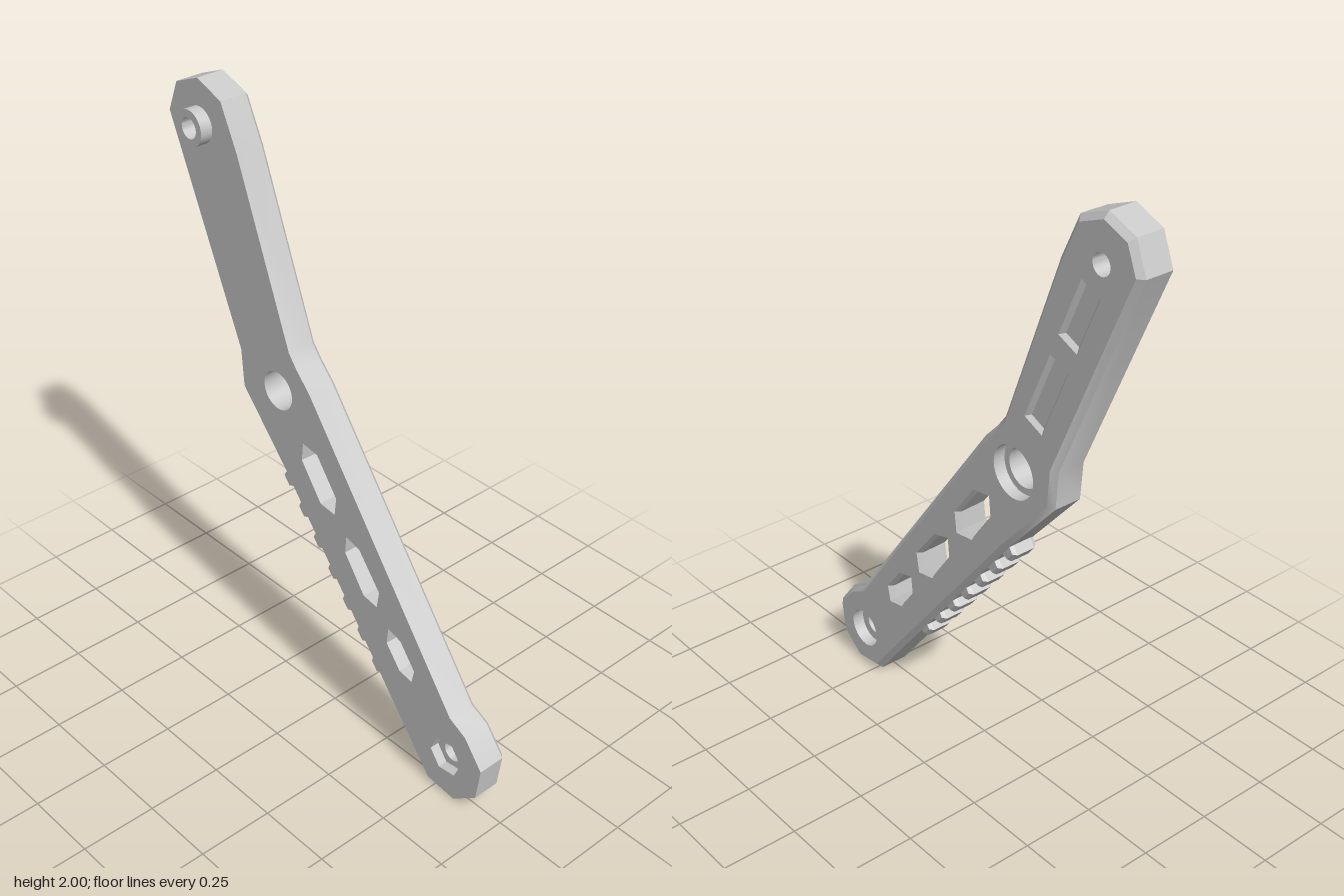
import * as THREE from 'three';
import { toCreasedNormals } from 'three/addons/utils/BufferGeometryUtils.js';

const FRONT = 0.035, EDGE = -0.058, BACK = -0.0755, TIP = 0.0755;
const V = (x, y) => new THREE.Vector2(x, y);
const ccw = (pts) => (THREE.ShapeUtils.isClockWise(pts) ? pts.slice().reverse() : pts);
const loop = (list) => ccw(list.map(([x, y]) => V(x, y)));

function ring(c, r, n = 32, start = 0) {
  return Array.from({ length: n }, (_, i) => {
    const a = start + (i / n) * Math.PI * 2;
    return V(c.x + r * Math.cos(a), c.y + r * Math.sin(a));
  });
}

// Mitred inset of a counter-clockwise loop (negative distance grows it)
function inset(pts, d) {
  const n = pts.length;
  return pts.map((p, i) => {
    const a = p.clone().sub(pts[(i + n - 1) % n]).normalize();
    const b = pts[(i + 1) % n].clone().sub(p).normalize();
    const na = V(-a.y, a.x), nb = V(-b.y, b.x);
    const m = na.clone().add(nb);
    return p.clone().addScaledVector(m, d / (1 + na.dot(nb)));
  });
}

export function createModel() {
  const model = new THREE.Group();
  model.name = 'leverArm';
  const grey = new THREE.MeshStandardMaterial({ color: 0xc8c8c8 });
  grey.name = 'lightGrey';

  function part(name) {
    const g = new THREE.Group();
    g.name = name;
    model.add(g);
    return g;
  }
  function addMesh(group, name, geo) {
    const m = new THREE.Mesh(geo, grey);
    m.name = name;
    group.add(m);
  }
  // Side wall between a front loop and a back loop; hole walls face inward
  function wall(group, name, a, za, b, zb, hole = false) {
    const n = a.length, pos = [], idx = [];
    a.forEach((p) => pos.push(p.x, p.y, za));
    b.forEach((p) => pos.push(p.x, p.y, zb));
    for (let i = 0; i < n; i++) {
      const j = (i + 1) % n;
      if (hole) idx.push(n + i, j, n + j, n + i, i, j);
      else idx.push(n + i, n + j, j, n + i, j, i);
    }
    const geo = new THREE.BufferGeometry();
    geo.setAttribute('position', new THREE.Float32BufferAttribute(pos, 3));
    geo.setIndex(idx);
    addMesh(group, name, toCreasedNormals(geo, 0.5));
  }
  // Flat face with holes, facing the front or the back
  function cap(group, name, outer, holes, z, facesFront) {
    const shape = new THREE.Shape(outer);
    shape.holes = holes.map((h) => new THREE.Path(h));
    const geo = new THREE.ShapeGeometry(shape);
    geo.translate(0, 0, z);
    if (!facesFront) {
      geo.setIndex(Array.from(geo.index.array).reverse());
      geo.computeVertexNormals();
    }
    addMesh(group, name, geo);
  }

  const outline = loop([
    [-0.55, 2], [-0.65, 1.96], [-0.69, 1.86], [-0.39, 1.175], [-0.38, 1.05],
    [-0.19, 0.835], [0.253, 0.287], [0.472, 0.014], [0.583, 0], [0.674, 0.071],
    [0.69, 0.187], [0.619, 0.277], [0.554, 0.31], [-0.077, 1.16], [-0.13, 1.215],
    [-0.165, 1.26], [-0.38, 1.82], [-0.447, 1.96],
  ]);
  const backOutline = inset(outline, 0.018);
  const top = V(-0.547, 1.858), pivot = V(-0.218, 1.105), low = V(0.543, 0.147);

  // Elongated hexagonal windows, slightly drafted and chamfered at the back
  const windows = [
    [[-0.106, 0.97], [-0.042, 0.96], [0.044, 0.845], [0.037, 0.782], [-0.027, 0.79], [-0.112, 0.907]],
    [[0.09, 0.727], [0.148, 0.712], [0.238, 0.6], [0.228, 0.54], [0.17, 0.55], [0.085, 0.667]],
    [[0.281, 0.487], [0.334, 0.472], [0.397, 0.392], [0.387, 0.345], [0.334, 0.355], [0.275, 0.429]],
  ].map(loop);
  const midWindows = windows.map((w) => inset(w, 0.003));
  const backWindows = windows.map((w) => inset(w, -0.006));

  // Rectangular recesses on the back of the upper arm
  const along = pivot.clone().sub(top).normalize();
  const across = V(-along.y, along.x);
  const rect = (t, length, width) => ccw([[-1, -1], [1, -1], [1, 1], [-1, 1]].map(([u, v]) =>
    top.clone().lerp(pivot, t)
      .addScaledVector(along, (u * length) / 2)
      .addScaledVector(across, (v * width) / 2)));
  const slots = [rect(0.23, 0.205, 0.08), rect(0.6, 0.25, 0.08)];

  // Round and hexagonal bores
  const topBore = ring(top, 0.033);
  const pivotBore = ring(pivot, 0.064), pivotSeat = ring(pivot, 0.086);
  const lowBore = ring(low, 0.034), lowSeat = ring(low, 0.066);
  const nut = ring(low, 0.064, 6, 0.12);
  const bossRim = ring(top, 0.057);

  const body = part('armBody');
  cap(body, 'frontFace', outline, [bossRim, pivotBore, nut, ...windows], FRONT, true);
  cap(body, 'backFace', backOutline,
    [topBore, pivotSeat, lowSeat, ...backWindows, ...slots], BACK, false);
  wall(body, 'sideWall', outline, FRONT, outline, EDGE);
  wall(body, 'backChamfer', outline, EDGE, backOutline, BACK);
  windows.forEach((w, i) => {
    wall(body, 'windowWall', w, FRONT, midWindows[i], EDGE, true);
    wall(body, 'windowChamfer', midWindows[i], EDGE, backWindows[i], BACK, true);
  });

  const boss = part('topBoss');
  wall(boss, 'bossSide', bossRim, TIP, bossRim, FRONT);
  cap(boss, 'bossFace', bossRim, [topBore], TIP, true);
  wall(boss, 'bossBore', topBore, TIP, topBore, BACK, true);

  const pivotHole = part('pivotHole');
  wall(pivotHole, 'pivotBore', pivotBore, FRONT, pivotBore, -0.035, true);
  cap(pivotHole, 'pivotLedge', pivotSeat, [pivotBore], -0.035, false);
  wall(pivotHole, 'pivotSeat', pivotSeat, -0.035, pivotSeat, BACK, true);

  const lowHole = part('lowerBoltHole');
  wall(lowHole, 'nutPocket', nut, FRONT, nut, 0.003, true);
  cap(lowHole, 'nutLedge', nut, [lowBore], 0.003, true);
  wall(lowHole, 'boltBore', lowBore, 0.003, lowBore, -0.035, true);
  cap(lowHole, 'boltLedge', lowSeat, [lowBore], -0.035, false);
  wall(lowHole, 'boltSeat', lowSeat, -0.035, lowSeat, BACK, true);

  const recesses = part('backRecesses');
  slots.forEach((s) => {
    const floor = inset(s, 0.012);
    wall(recesses, 'recessWall', floor, -0.062, s, BACK, true);
    cap(recesses, 'recessFloor', floor, [], -0.062, false);
  });

  // Row of grip teeth along the lower edge, bevelled front and back
  const teeth = part('gripTeeth');
  const d = V(0.85, -1.03).normalize(), out = V(d.y, -d.x);
  for (let i = 0; i < 7; i++) {
    const c = V(-0.378, 1.05).addScaledVector(d, 0.32 + i * 0.1065);
    const section = (height, half) => ccw([
      [-half - 0.01, -0.02], [half + 0.01, -0.02], [half, height], [-half, height],
    ].map(([u, v]) => c.clone().addScaledVector(d, u).addScaledVector(out, v)));
    const small = section(0.014, 0.018), big = section(0.024, 0.023);
    cap(teeth, 'toothFront', small, [], FRONT - 0.001, true);
    wall(teeth, 'toothFrontBevel', small, FRONT - 0.001, big, 0.02);
    wall(teeth, 'toothSide', big, 0.02, big, -0.045);
    wall(teeth, 'toothBackBevel', big, -0.045, small, EDGE);
    cap(teeth, 'toothBack', small, [], EDGE, false);
  }
  return model;
}
